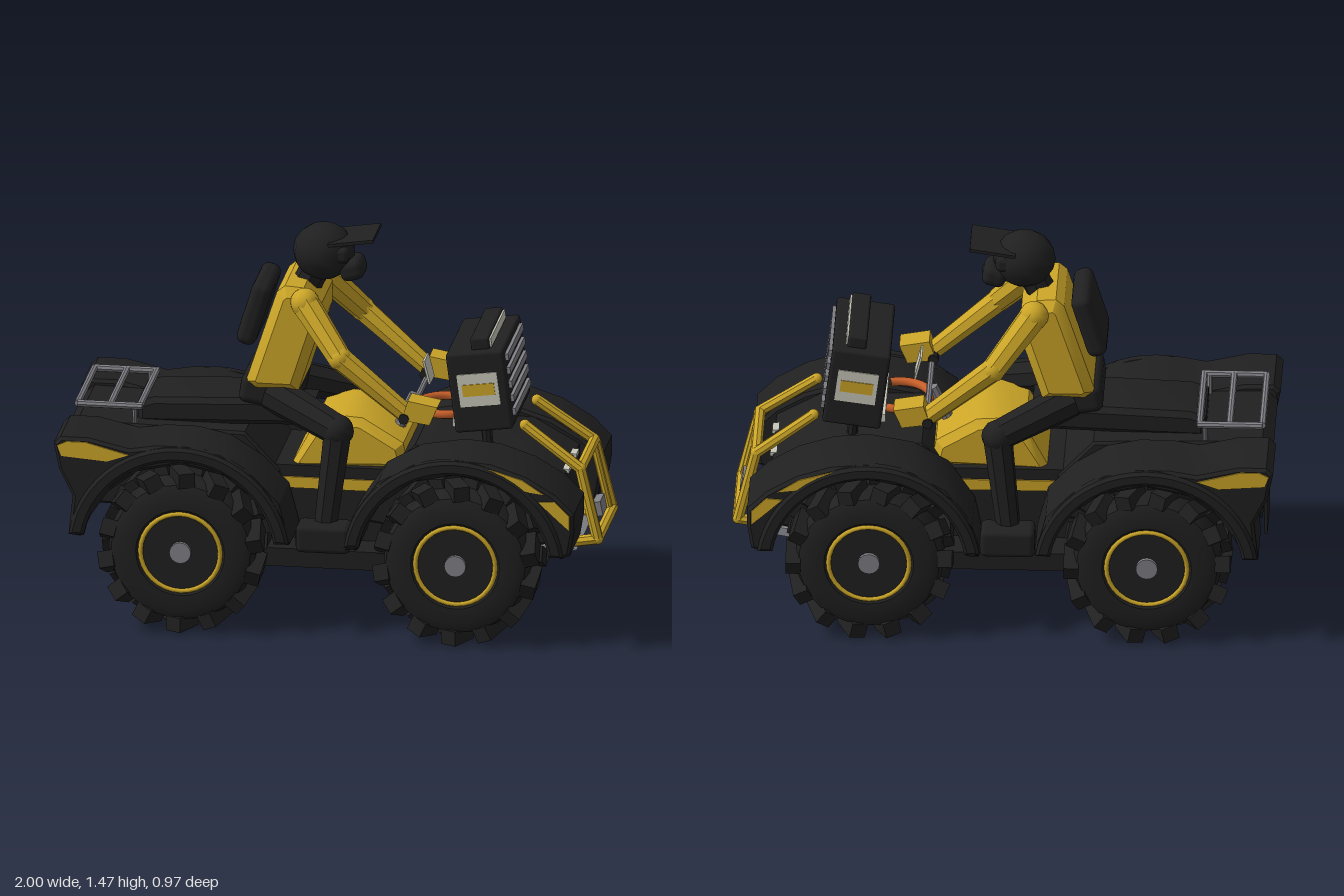
import * as THREE from 'three';
import { toCreasedNormals } from 'three/addons/utils/BufferGeometryUtils.js';
import { RoundedBoxGeometry } from 'three/addons/geometries/RoundedBoxGeometry.js';

const mat = (name, color) => Object.assign(new THREE.MeshStandardMaterial({ color }), { name });

export function createModel() {
  const root = new THREE.Group();
  root.name = 'quadBikeWithRider';
  const black = mat('black', 0x202020), yellow = mat('yellow', 0xcca628), steel = mat('steel', 0x808086),
    plateGrey = mat('plate grey', 0x94969c), pale = mat('pale', 0xc9c8ba), orange = mat('orange', 0xc8602a);

  const add = (name, geo, m, pos = [0, 0, 0], rotZ = 0, parent = root) => {
    const mesh = new THREE.Mesh(geo, m);
    mesh.name = name;
    mesh.position.set(...pos);
    mesh.rotation.z = rotZ;
    parent.add(mesh);
    return mesh;
  };
  const box = (name, m, size, pos, rotZ = 0, parent = root) =>
    add(name, new THREE.BoxGeometry(...size), m, pos, rotZ, parent);
  const softBox = (name, m, size, pos, rotZ = 0, r = 0.02, parent = root) =>
    add(name, new RoundedBoxGeometry(...size, 2, r), m, pos, rotZ, parent);

  // Side profile in x/y, given a width along z
  const slabShape = (name, m, shape, zA, zB, bevel = 0) => {
    const z0 = Math.min(zA, zB), z1 = Math.max(zA, zB);
    const geo = new THREE.ExtrudeGeometry(shape, {
      depth: z1 - z0 - 2 * bevel, bevelEnabled: bevel > 0, bevelSize: bevel,
      bevelThickness: bevel, bevelOffset: -bevel, bevelSegments: 1,
    });
    return add(name, toCreasedNormals(geo, 0.5), m, [0, 0, z0 + bevel]);
  };
  const slab = (name, m, pts, zA, zB, bevel) =>
    slabShape(name, m, new THREE.Shape(pts.map(p => new THREE.Vector2(...p))), zA, zB, bevel);

  // Straight limb or bar from a to b
  const rod = (name, m, a, b, r0, r1 = r0) => {
    const A = new THREE.Vector3(...a), B = new THREE.Vector3(...b), d = B.clone().sub(A);
    const geo = toCreasedNormals(new THREE.CylinderGeometry(r1, r0, d.length(), 8), 0.5);
    const mesh = add(name, geo, m, A.clone().lerp(B, 0.5).toArray());
    mesh.quaternion.setFromUnitVectors(new THREE.Vector3(0, 1, 0), d.normalize());
    return mesh;
  };
  const ball = (name, m, r, pos) => add(name, new THREE.SphereGeometry(r, 12, 8), m, pos);
  const bars = (name, m, pts, r) => {
    for (let i = 1; i < pts.length; i++) rod(name, m, pts[i - 1], pts[i], r);
    for (const p of pts) ball(name + 'Joint', m, r, p);
  };

  // Wheels: lathed tyre, staggered angled lugs, trim ring and hub
  const tyrePts = [[0, -0.1], [0.15, -0.1], [0.165, -0.112], [0.225, -0.115], [0.258, -0.1], [0.272, -0.06],
    [0.272, 0.06], [0.258, 0.1], [0.225, 0.115], [0.165, 0.112], [0.15, 0.1], [0, 0.1]];
  const tyreGeo = toCreasedNormals(
    new THREE.LatheGeometry(tyrePts.map(p => new THREE.Vector2(...p)), 32).rotateX(Math.PI / 2), 0.6);
  const lugGeo = new THREE.BoxGeometry(0.056, 0.062, 0.118);
  const makeWheel = (x, side) => {
    const wheel = new THREE.Group();
    wheel.name = x > 0 ? 'frontWheel' : 'rearWheel';
    wheel.position.set(x, 0.318, side * 0.324);
    add('tyre', tyreGeo, black, [0, 0, 0], 0, wheel);
    for (const row of [-1, 1]) for (let i = 0; i < 14; i++) {
      const a = (i + (row > 0 ? 0.5 : 0)) / 14 * Math.PI * 2;
      const lug = add('treadLug', lugGeo, black,
        [Math.cos(a) * 0.278, Math.sin(a) * 0.278, row * 0.058], 0, wheel);
      lug.rotation.x = row * 0.45;
      lug.quaternion.premultiply(new THREE.Quaternion().setFromAxisAngle(new THREE.Vector3(0, 0, 1), a));
    }
    add('rimRing', new THREE.TorusGeometry(0.148, 0.009, 6, 32), yellow, [0, 0, side * 0.107], 0, wheel);
    const hub = add('hub', new THREE.CylinderGeometry(0.04, 0.04, 0.23, 16), steel, [0, 0, 0], 0, wheel);
    hub.rotation.x = Math.PI / 2;
    root.add(wheel);
  };

  // Raised rim around each wheel arch
  const archRim = (x, side) => {
    const shape = new THREE.Shape();
    shape.absarc(x, 0.325, 0.412, 0.14, Math.PI - 0.14, false);
    shape.absarc(x, 0.325, 0.357, Math.PI - 0.16, 0.16, true);
    slabShape('archRim', black, shape, side * 0.43, side * 0.484, 0.012);
  };
  for (const x of [-0.535, 0.485]) {
    for (const s of [-1, 1]) {
      makeWheel(x, s);
      archRim(x, s);
    }
    rod('axle', black, [x, 0.318, -0.23], [x, 0.318, 0.23], 0.035);
  }

  // Fenders and their painted panels
  const rearFender = [[-1, 0.73], [-0.975, 0.755], [-0.87, 0.755], [-0.72, 0.72], [-0.62, 0.737], [-0.5, 0.737],
    [-0.38, 0.71], [-0.26, 0.635], [-0.165, 0.535], [-0.125, 0.38], [-0.165, 0.38], [-0.2, 0.47], [-0.27, 0.56],
    [-0.37, 0.635], [-0.53, 0.67], [-0.69, 0.635], [-0.8, 0.55], [-0.86, 0.46], [-0.9, 0.375], [-0.945, 0.38],
    [-0.93, 0.53], [-0.98, 0.63]];
  const frontFender = [[0.08, 0.37], [0.105, 0.49], [0.2, 0.635], [0.33, 0.71], [0.49, 0.738], [0.62, 0.727],
    [0.75, 0.685], [0.86, 0.62], [0.93, 0.55], [0.93, 0.48], [0.915, 0.39], [0.88, 0.375], [0.84, 0.4],
    [0.82, 0.48], [0.75, 0.575], [0.64, 0.65], [0.49, 0.68], [0.33, 0.645], [0.21, 0.55], [0.15, 0.45], [0.125, 0.37]];
  const rearPanel = [[-0.985, 0.725], [-0.95, 0.742], [-0.88, 0.742], [-0.72, 0.7], [-0.8, 0.672], [-0.97, 0.685]];
  const frontPanels = [
    [[0.58, 0.705], [0.62, 0.712], [0.74, 0.677], [0.82, 0.625], [0.74, 0.635]],
    [[0.8, 0.595], [0.86, 0.6], [0.915, 0.545], [0.915, 0.49], [0.87, 0.53]],
  ];
  for (const s of [-1, 1]) {
    slab('rearFender', black, rearFender, s * 0.2, s * 0.472, 0.012);
    slab('frontFender', black, frontFender, s * 0.2, s * 0.472, 0.012);
    slab('rearFenderPanel', yellow, rearPanel, s * 0.468, s * 0.477);
    for (const panel of frontPanels) slab('frontFenderPanel', yellow, panel, s * 0.468, s * 0.477);
    box('sideStripe', yellow, [0.5, 0.042, 0.008], [-0.04, 0.535, s * 0.203]);
    box('footBoard', black, [0.48, 0.07, 0.14], [-0.01, 0.285, s * 0.26]);
  }

  // Body, tank, seat and belly
  slab('rearBody', black, [[-0.95, 0.42], [-0.99, 0.7], [-0.95, 0.735], [-0.33, 0.72], [-0.2, 0.58], [-0.2, 0.4]], -0.21, 0.21, 0.01);
  slab('centreBody', black, [[-0.3, 0.25], [-0.3, 0.6], [0.25, 0.6], [0.25, 0.25]], -0.2, 0.2);
  slab('hood', black, [[0.1, 0.4], [0.2, 0.6], [0.3, 0.7], [0.68, 0.695], [0.85, 0.6], [0.85, 0.36], [0.7, 0.32]], -0.21, 0.21, 0.01);
  slab('tank', yellow, [[-0.17, 0.58], [-0.08, 0.75], [0.02, 0.785], [0.1, 0.78], [0.25, 0.69], [0.27, 0.59]], -0.185, 0.185, 0.03);
  slab('seat', black, [[-0.74, 0.71], [-0.74, 0.79], [-0.68, 0.81], [-0.3, 0.825], [-0.1, 0.79], [-0.14, 0.73]], -0.14, 0.14, 0.02);
  slab('skidPlate', plateGrey, [[-0.3, 0.225], [-0.3, 0.25], [0.36, 0.26], [0.86, 0.35], [0.9, 0.325], [0.36, 0.225]], -0.205, 0.205);
  box('tailFlap', black, [0.01, 0.19, 0.24], [-0.96, 0.405, 0]);

  // Rear rack
  for (const s of [-1, 1]) {
    rod('rackSide', steel, [-0.95, 0.8, s * 0.205], [-0.71, 0.8, s * 0.205], 0.014);
    rod('rackPost', steel, [-0.74, 0.8, s * 0.2], [-0.74, 0.7, s * 0.18], 0.01);
  }
  for (const x of [-0.95, -0.83, -0.72]) rod('rackBar', steel, [x, 0.8, -0.205], [x, 0.8, 0.205], 0.013);

  // Front bumper, lamps and winch
  for (const s of [-1, 1]) {
    bars('bumperSide', yellow, [[0.7, 0.78, s * 0.145], [0.91, 0.63, s * 0.168], [0.975, 0.365, s * 0.18], [0.81, 0.335, s * 0.17]], 0.021);
    rod('bumperInner', yellow, [0.91, 0.63, s * 0.14], [0.97, 0.37, s * 0.145], 0.014);
    box('headlamp', pale, [0.03, 0.015, 0.06], [0.845, 0.6, s * 0.09]);
  }
  rod('bumperTopBar', yellow, [0.91, 0.63, -0.168], [0.91, 0.63, 0.168], 0.021);
  rod('bumperBottomBar', yellow, [0.975, 0.365, -0.18], [0.975, 0.365, 0.18], 0.021);
  box('winch', steel, [0.03, 0.055, 0.1], [0.955, 0.435, 0], 0.2);

  // Steering column, handlebar and orange grip ring
  rod('steeringColumn', steel, [0.21, 0.7, 0], [0.27, 0.83, 0], 0.022);
  rod('handlebar', steel, [0.28, 0.82, -0.27], [0.28, 0.82, 0.27], 0.012);
  const ring = add('gripRing', new THREE.TorusGeometry(0.11, 0.017, 8, 24, Math.PI * 1.25), orange, [0.388, 0.793, 0]);
  ring.rotation.set(Math.PI / 2, 0, Math.PI * 0.375);
  box('dashScreen', pale, [0.008, 0.09, 0.1], [0.32, 0.93, 0], 0.25);
  box('dashPanel', pale, [0.025, 0.03, 0.34], [0.448, 0.783, 0]);

  // Front cargo box with slats and side labels
  const cargo = new THREE.Group();
  cargo.name = 'cargoBox';
  cargo.position.set(0.54, 0.922, 0);
  cargo.rotation.z = 0.13;
  root.add(cargo);
  softBox('boxShell', black, [0.215, 0.305, 0.43], [0, 0, 0], 0, 0.012, cargo);
  softBox('boxHandle', black, [0.07, 0.05, 0.36], [0.02, 0.172, 0], 0, 0.01, cargo);
  box('handlePlate', pale, [0.008, 0.032, 0.34], [0.058, 0.172, 0], 0, cargo);
  for (let i = 0; i < 5; i++) box('slat', steel, [0.02, 0.026, 0.36], [0.11, 0.115 - i * 0.053, 0], 0, cargo);
  for (const s of [-1, 1]) {
    box('label', pale, [0.15, 0.125, 0.006], [0, 0.01, s * 0.216], 0, cargo);
    box('labelStripe', yellow, [0.12, 0.045, 0.006], [0, 0.01, s * 0.219], 0, cargo);
    rod('boxMount', black, [0.56, 0.68, s * 0.12], [0.55, 0.8, s * 0.12], 0.02);
  }

  // Rider torso, pelvis and backpack
  slab('torso', yellow, [[-0.335, 0.9], [-0.22, 1.25], [-0.19, 1.275], [-0.12, 1.27], [-0.06, 1.2], [-0.06, 1.12], [-0.14, 0.87], [-0.3, 0.87]], -0.185, 0.185, 0.035);
  softBox('pelvis', black, [0.22, 0.11, 0.32], [-0.25, 0.855, 0], -0.15, 0.03);
  softBox('backpack', black, [0.075, 0.25, 0.28], [-0.31, 1.15, 0], -0.3, 0.03);

  // Limbs
  for (const s of [-1, 1]) {
    const shoulder = [-0.11, 1.225, s * 0.185], elbow = [0.035, 1.05, s * 0.285], wrist = [0.27, 0.85, s * 0.27];
    const hip = [-0.24, 0.845, s * 0.11], knee = [0.02, 0.755, s * 0.24], ankle = [-0.02, 0.4, s * 0.27];
    ball('shoulder', yellow, 0.055, shoulder);
    rod('upperArm', yellow, shoulder, elbow, 0.053, 0.045);
    ball('elbow', yellow, 0.046, elbow);
    rod('forearm', yellow, elbow, wrist, 0.045, 0.036);
    slab('glove', yellow, [[0.265, 0.83], [0.29, 0.905], [0.4, 0.885], [0.37, 0.815]], s * 0.212, s * 0.308);
    rod('grip', black, [0.275, 0.835, s * 0.2], [0.275, 0.835, s * 0.313], 0.02);
    rod('thigh', black, hip, knee, 0.07, 0.058);
    ball('knee', black, 0.06, knee);
    rod('shin', black, knee, ankle, 0.055, 0.045);
    softBox('boot', black, [0.2, 0.105, 0.12], [-0.02, 0.367, s * 0.305], 0, 0.02);
  }

  // Helmet with peak and chin guard
  rod('neck', black, [-0.13, 1.24, 0], [-0.09, 1.32, 0], 0.055);
  ball('helmet', black, 0.11, [-0.068, 1.368, 0]).scale.set(1.05, 0.97, 0.98);
  box('helmetPeak', black, [0.17, 0.012, 0.2], [0.045, 1.432, 0], 0.15);
  softBox('goggles', black, [0.06, 0.06, 0.17], [0.005, 1.375, 0], 0, 0.02);
  softBox('chinGuard', black, [0.09, 0.08, 0.13], [0.04, 1.31, 0], 0.3, 0.03);

  return root;
}
